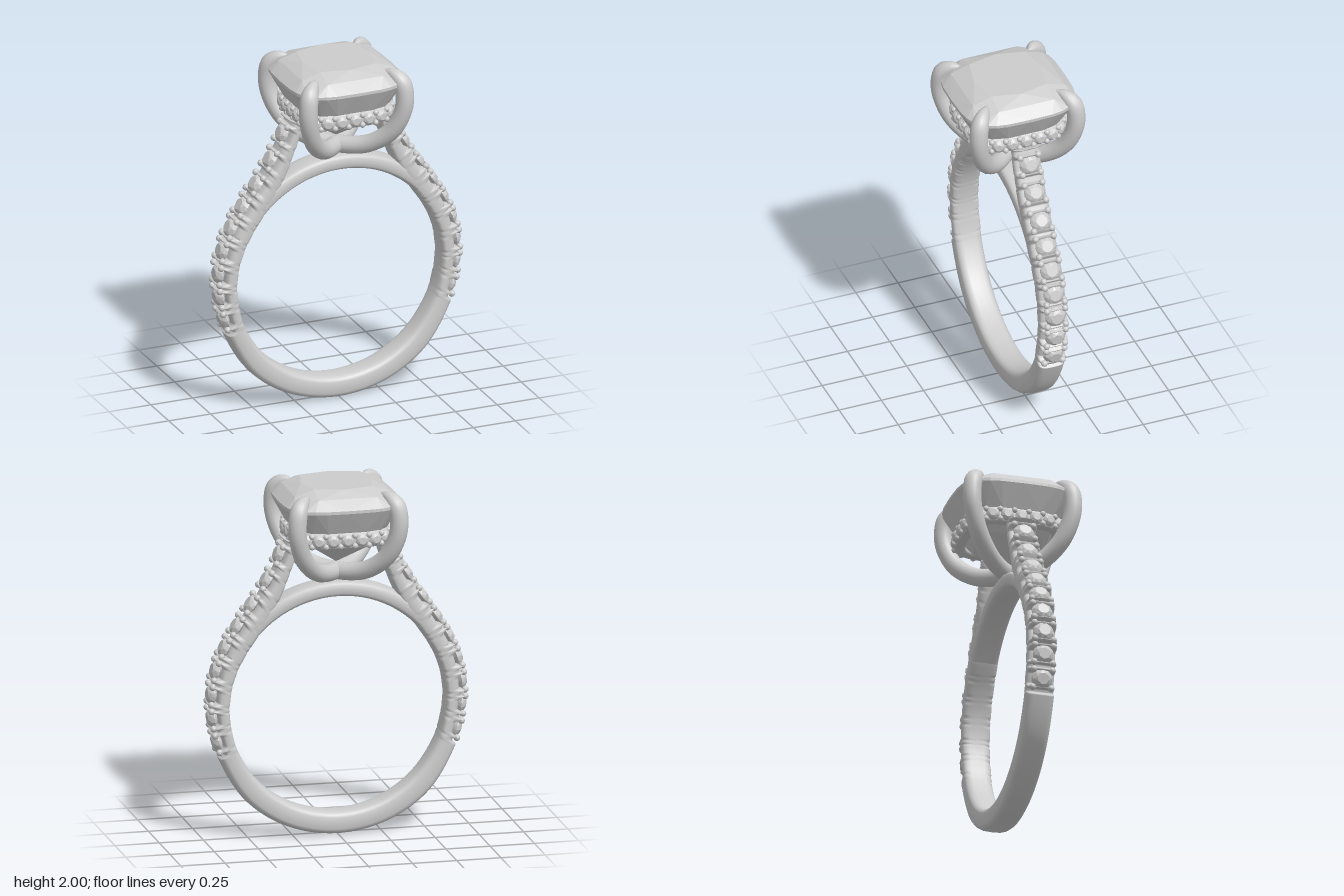
import * as THREE from 'three';
import { ConvexGeometry } from 'three/addons/geometries/ConvexGeometry.js';

const V = (x, y, z = 0) => new THREE.Vector3(x, y, z);
const spow = (v, e) => Math.sign(v) * Math.abs(v) ** e;
const UP = V(0, 1, 0), Z = V(0, 0, 1);

// Skin a list of equal-length rings; either joined end to end or capped
function loft(rings, closed = false) {
  const m = rings[0].length, n = rings.length, pos = [], idx = [];
  rings.forEach(r => r.forEach(p => pos.push(p.x, p.y, p.z)));
  for (let i = 0; i < (closed ? n : n - 1); i++) {
    for (let k = 0; k < m; k++) {
      const a = i * m + k, b = i * m + (k + 1) % m;
      const c = ((i + 1) % n) * m + k, d = ((i + 1) % n) * m + (k + 1) % m;
      idx.push(a, b, d, a, d, c);
    }
  }
  if (!closed) {
    for (let k = 1; k < m - 1; k++) {
      idx.push(0, k + 1, k);
      idx.push((n - 1) * m, (n - 1) * m + k, (n - 1) * m + k + 1);
    }
  }
  // Turn the faces outward if the enclosed volume comes out negative
  const at = i => V(pos[3 * i], pos[3 * i + 1], pos[3 * i + 2]);
  let volume = 0;
  for (let i = 0; i < idx.length; i += 3) volume += at(idx[i]).dot(at(idx[i + 1]).cross(at(idx[i + 2])));
  if (volume < 0) idx.reverse();
  const g = new THREE.BufferGeometry();
  g.setAttribute('position', new THREE.Float32BufferAttribute(pos, 3));
  g.setIndex(idx);
  g.computeVertexNormals();
  return g;
}

// Rounded-rectangle ring around c with half-axes u and w
function section(c, u, w, e = 0.6, sides = 20) {
  return Array.from({ length: sides }, (_, k) => {
    const a = k / sides * Math.PI * 2;
    return c.clone().addScaledVector(u, spow(Math.cos(a), e)).addScaledVector(w, spow(Math.sin(a), e));
  });
}

// Cushion outline: a square with bowed sides and soft corners
function cushion(half, y, count, shift = 0) {
  return Array.from({ length: count }, (_, i) => {
    const a = (i + shift) / count * Math.PI * 2, e = 2 / 3.5;
    return V(half * spow(Math.cos(a), e), y, half * spow(Math.sin(a), e));
  });
}

// Small round cut stone of unit radius, table facing +z
function smallStone() {
  const pts = [V(0, 0, -0.7)];
  for (const [r, z, n, s] of [[0.55, 0.5, 8, 0], [0.85, 0.27, 8, 0.5], [1, 0, 16, 0], [1, -0.08, 16, 0]])
    for (let i = 0; i < n; i++) {
      const a = (i + s) / n * Math.PI * 2;
      pts.push(V(r * Math.cos(a), r * Math.sin(a), z));
    }
  return new ConvexGeometry(pts);
}

export function createModel() {
  const ring = new THREE.Group();
  ring.name = 'ring';
  const metal = new THREE.MeshStandardMaterial({ color: 0xcccccc });
  metal.name = 'paleMetal';
  const add = (name, geo, parent = ring) => {
    const m = new THREE.Mesh(geo, metal);
    m.name = name;
    parent.add(m);
    return m;
  };
  const group = name => {
    const g = new THREE.Group();
    g.name = name;
    ring.add(g);
    return g;
  };
  const stoneGeo = smallStone(), beadGeo = new THREE.SphereGeometry(1, 10, 8);
  const place = (name, geo, parent, p, normal, size) => {
    const m = add(name, geo, parent);
    m.position.copy(p);
    m.quaternion.setFromUnitVectors(Z, normal);
    m.scale.setScalar(size);
  };

  // Shank edges from the bottom up one shoulder: inner x, y, outer x, y
  const edges = [
    [0, 0.13, 0, 0], [0.233, 0.176, 0.283, 0.056], [0.431, 0.309, 0.515, 0.212], [0.564, 0.507, 0.665, 0.46],
    [0.604, 0.66, 0.715, 0.63], [0.61, 0.76, 0.73, 0.78], [0.587, 0.9, 0.71, 0.94], [0.535, 1.02, 0.655, 1.09],
    [0.45, 1.15, 0.56, 1.25], [0.35, 1.31, 0.45, 1.41], [0.27, 1.5, 0.365, 1.56], [0.215, 1.67, 0.31, 1.7],
  ];
  const curve = o => new THREE.CatmullRomCurve3([
    ...edges.slice(1).reverse().map(e => V(-e[o], e[o + 1])), ...edges.map(e => V(e[o], e[o + 1]))]);
  const inner = curve(0), outer = curve(2), N = 600;

  // Stone seats on the right shoulder, found by height
  const seats = [0.55, 0.69, 0.83, 0.97, 1.1, 1.22, 1.34, 1.47, 1.61].map(y => {
    let best = 0.5;
    for (let t = 0.5; t <= 1; t += 0.0005)
      if (Math.abs(outer.getPoint(t).y - y) < Math.abs(outer.getPoint(best).y - y)) best = t;
    const p = outer.getPoint(best), tangent = outer.getTangent(best);
    return { p, tangent, normal: V(tangent.y, -tangent.x) };
  });

  // Shank with a scallop at each stone and a slit between neighbours
  const shank = [];
  for (let i = 0; i <= N; i++) {
    const a = inner.getPoint(i / N), b = outer.getPoint(i / N);
    const q = V(Math.abs(b.x), b.y);
    const d = Math.min(...seats.map(s => s.p.distanceTo(q)));
    let dip = 0;
    if (d < 0.05) dip = 0.045 * Math.min(1, (0.05 - d) / 0.015);
    else if (d > 0.059 && d < 0.085 && b.y > 0.47) dip = 0.03;
    b.addScaledVector(b.clone().sub(a).normalize(), -dip);
    shank.push(section(a.clone().add(b).multiplyScalar(0.5), b.clone().sub(a).multiplyScalar(0.5), V(0, 0, 0.08)));
  }
  add('shank', loft(shank));

  // Bridge closing the finger hole under the head
  const bridge = [];
  for (let i = 0; i <= 60; i++) {
    const a = THREE.MathUtils.degToRad(25 + i / 60 * 130), dir = V(Math.cos(a), Math.sin(a));
    bridge.push(section(V(0, 0.74).addScaledVector(dir, 0.655), dir.clone().multiplyScalar(0.045), V(0, 0, 0.078)));
  }
  add('bridge', loft(bridge));

  // Shoulder stones, each held by four beads
  const shoulderStones = group('shoulderStones'), shoulderBeads = group('shoulderBeads');
  for (const side of [1, -1]) {
    const flip = v => V(v.x * side, v.y, v.z);
    for (const { p, tangent, normal } of seats) {
      place('shoulderStone', stoneGeo, shoulderStones, flip(p.clone().addScaledVector(normal, -0.025)), flip(normal), 0.06);
      for (const u of [-1, 1]) for (const w of [-1, 1]) {
        const b = p.clone().addScaledVector(tangent, u * 0.05).addScaledVector(normal, -0.014);
        b.z = w * 0.053;
        place('shoulderBead', beadGeo, shoulderBeads, flip(b), flip(normal), 0.019);
      }
    }
  }

  // Centre stone: crown, girdle and pavilion facets down to the point
  const cut = [V(0, 1.54, 0)];
  for (const [half, y, n, s] of [[0.2, 2, 8, 0], [0.285, 1.965, 8, 0.5], [0.335, 1.912, 32, 0], [0.335, 1.895, 32, 0],
    [0.268, 1.77, 16, 0.5], [0.188, 1.66, 8, 0]]) cut.push(...cushion(half, y, n, s));
  add('centreStone', new ConvexGeometry(cut));

  // Halo band below the girdle, set with outward-facing stones
  const path = new THREE.CatmullRomCurve3(cushion(0.285, 1.725, 64), true);
  const outward = t => {
    const g = path.getTangentAt(t);
    return V(g.z, 0, -g.x);
  };
  const band = [];
  for (let i = 0; i < 160; i++) {
    const o = outward(i / 160);
    band.push(section(path.getPointAt(i / 160).addScaledVector(o, -0.042), o.clone().multiplyScalar(0.032), V(0, 0.045, 0), 0.4));
  }
  add('haloBand', loft(band, true));
  const haloStones = group('haloStones'), haloBeads = group('haloBeads');
  for (let i = 0; i < 24; i++) {
    place('haloStone', stoneGeo, haloStones, path.getPointAt(i / 24).addScaledVector(outward(i / 24), -0.012), outward(i / 24), 0.038);
    const t = (i + 0.5) / 24;
    for (const w of [-1, 1])
      place('haloBead', beadGeo, haloBeads, path.getPointAt(t).addScaledVector(outward(t), -0.01).addScaledVector(UP, w * 0.029), outward(t), 0.017);
  }

  // Two crossing hoops whose tapered ends form the four claws: x, y, radius
  const claw = [[0, 1.49, 0.05], [0.13, 1.515, 0.05], [0.23, 1.61, 0.05], [0.278, 1.73, 0.05], [0.288, 1.83, 0.051],
    [0.275, 1.91, 0.05], [0.24, 1.953, 0.034], [0.195, 1.968, 0.004]];
  const hoop = [...claw.slice(1).reverse().map(([x, y, r]) => [-x, y, r]), ...claw];
  for (const side of [1, -1]) {
    const line = new THREE.CatmullRomCurve3(hoop.map(([x, y]) => V(x, y, x * side)));
    const radii = new THREE.CatmullRomCurve3(hoop.map(([, , r], i) => V(i, r)), false, 'catmullrom');
    const across = V(1, 0, -side).normalize(), rings = [];
    for (let i = 0; i <= 112; i++) {
      const t = i / 112, r = Math.max(0.003, radii.getPoint(t).y);
      const n = line.getTangent(t).cross(across).normalize();
      rings.push(section(line.getPoint(t), n.multiplyScalar(r), across.clone().multiplyScalar(r), 1, 16));
    }
    add('clawHoop', loft(rings));
  }
  return ring;
}
